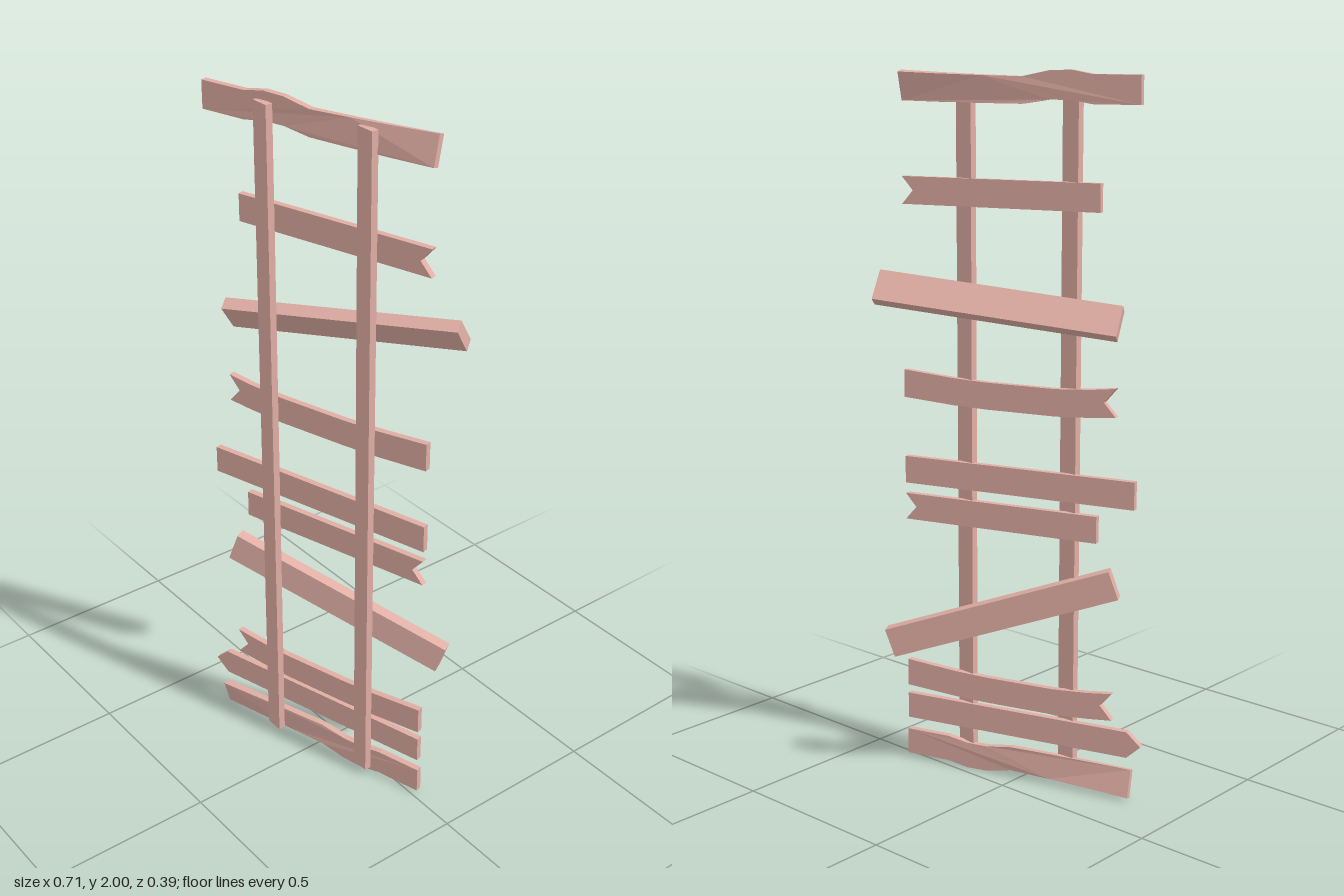
import * as THREE from 'three';

const material = new THREE.MeshStandardMaterial({ color: 0xe0aea4, flatShading: true });
const YAW = 0.282;      // the rungs run askew to the rails
const THICK = 0.018;

// Flat board cut from an outline, centred on its thickness; outline x is measured across the front
function boardGeometry(points) {
  const c = Math.cos(YAW);
  const shape = new THREE.Shape(points.map(([x, y]) => new THREE.Vector2(x / c, y)));
  const geo = new THREE.ExtrudeGeometry(shape, { depth: THICK, bevelEnabled: false });
  geo.translate(0, 0, -THICK / 2);
  return geo;
}

// Outlines, around y = 0
const plain = [[-0.325, -0.039], [0.347, -0.039], [0.347, 0.039], [-0.325, 0.039]];
const notchedRight = [[-0.22, -0.038], [0.347, -0.038], [0.315, 0], [0.347, 0.038], [-0.22, 0.038]];
const pointedLeft = [[-0.315, -0.038], [0.347, -0.038], [0.347, 0.038], [-0.315, 0.038], [-0.355, 0]];
const saggingNotched = [
  [-0.27, -0.036], [-0.2, -0.043], [-0.1, -0.049], [0.1, -0.049], [0.2, -0.046], [0.347, -0.036],
  [0.347, 0.043], [0.2, 0.031], [0.1, 0.027], [-0.1, 0.027], [-0.2, 0.034], [-0.27, 0.043], [-0.237, 0.003],
];

// Warped board: a hump left of the middle, and a twist growing toward the right end
function warpedGeometry() {
  const geo = boardGeometry([
    [-0.338, -0.038], [-0.21, -0.038], [-0.15, -0.028], [-0.09, -0.028], [-0.015, -0.04], [0.1, -0.039],
    [0.22, -0.037], [0.336, -0.034],
    [0.336, 0.043], [0.22, 0.038], [0.1, 0.034], [-0.015, 0.031], [-0.09, 0.047], [-0.15, 0.049],
    [-0.21, 0.038], [-0.338, 0.038],
  ]);
  const p = geo.attributes.position;
  for (let i = 0; i < p.count; i++) {
    const k = 0.28 * THREE.MathUtils.clamp((p.getX(i) + 0.02) / 0.36, 0, 1);
    const y = p.getY(i), z = p.getZ(i);
    p.setY(i, y + z * k);
    p.setZ(i, z - y * k);
  }
  geo.computeVertexNormals();
  return geo;
}

// Thicker loose board given by its centre, length vector and width vector
function looseBoard(name, center, along, across) {
  const l = new THREE.Vector3(...along), w = new THREE.Vector3(...across);
  const mesh = new THREE.Mesh(new THREE.BoxGeometry(l.length(), w.length(), 0.036), material);
  l.normalize();
  const n = l.clone().cross(w).normalize();
  const up = n.clone().cross(l);
  mesh.quaternion.setFromRotationMatrix(new THREE.Matrix4().makeBasis(l, up, n));
  mesh.position.set(...center);
  mesh.name = name;
  return mesh;
}

export function createModel() {
  const model = new THREE.Group();
  model.name = 'ladder';

  // Upright rails
  for (const [name, x, z] of [['rightRail', -0.128, 0.135], ['leftRail', 0.172, 0.045]]) {
    const rail = new THREE.Mesh(new THREE.BoxGeometry(0.054, 1.955, 0.02), material);
    rail.position.set(x, 0.9975, z);
    rail.name = name;
    model.add(rail);
  }

  // Rungs nailed behind the rails; the bottom one is the top one turned over
  const warped = warpedGeometry();
  const rungs = [
    ['topWarpedRung', warped, 1.95, 0.0135, 0],
    ['upperNotchedRung', boardGeometry(notchedRight), 1.672, 0, 0],
    ['upperSaggingRung', boardGeometry(saggingNotched), 1.127, 0, 0],
    ['plainRung', boardGeometry(plain), 0.88, 0, 0],
    ['lowerNotchedRung', boardGeometry(notchedRight), 0.772, 0, 0],
    ['lowerSaggingRung', boardGeometry(saggingNotched), 0.263, 0, 0],
    ['pointedRung', boardGeometry(pointedLeft), 0.163, 0, 0],
    ['bottomWarpedRung', warped, 0.05, 0.0115, Math.PI],
  ];
  for (const [name, geo, y, x, roll] of rungs) {
    const rung = new THREE.Mesh(geo, material);
    rung.rotation.set(0, YAW, roll);
    rung.position.set(x, y, 0.08 - 0.29 * x);
    rung.name = name;
    model.add(rung);
  }

  // Two loose boards hanging crooked
  model.add(looseBoard('upperLooseBoard', [0.015, 1.383, -0.005], [0.6, 0.074, -0.305], [0.0155, 0.074, 0.048]));
  model.add(looseBoard('lowerLooseBoard', [0.02, 0.51, 0.016], [0.56, -0.217, -0.31], [0.022, 0.08, -0.016]));

  return model;
}
